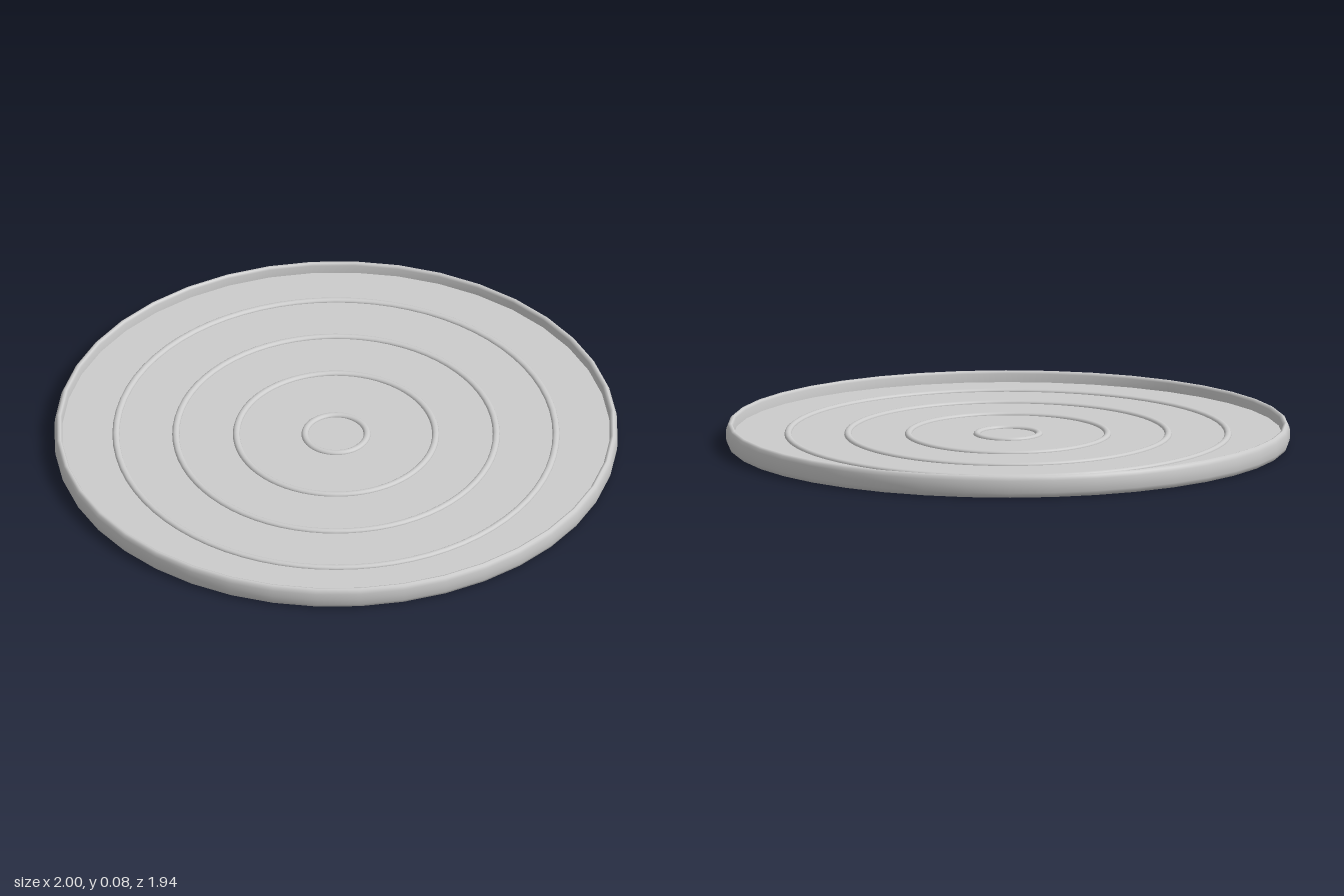
import * as THREE from 'three';

const FLOOR = 0.04;   // height of the dish floor
const DEPTH = 0.97;   // the dish is slightly oval: z radius / x radius

function lathe(name, points, segments, material) {
  const profile = points.map(([r, y]) => new THREE.Vector2(r, y));
  const mesh = new THREE.Mesh(new THREE.LatheGeometry(profile, segments), material);
  mesh.name = name;
  return mesh;
}

function disc(name, radius, y, up, material) {
  const mesh = new THREE.Mesh(new THREE.CircleGeometry(radius, 40), material);
  mesh.rotation.x = up ? -Math.PI / 2 : Math.PI / 2;
  mesh.position.y = y;
  mesh.scale.y = DEPTH;
  mesh.name = name;
  return mesh;
}

export function createModel() {
  const group = new THREE.Group();
  group.name = 'roundTray';
  const material = new THREE.MeshStandardMaterial({ color: 0xcccccc });

  // Raised rim: soft outer wall, rounded lip and straight inner wall
  const rim = lathe('rim', [
    [0.985, 0], [0.993, 0.006], [0.998, 0.018], [1, 0.04], [0.998, 0.062],
    [0.993, 0.074], [0.986, 0.08], [0.979, 0.078], [0.974, 0.07], [0.972, FLOOR],
  ], 40, material);
  rim.scale.z = DEPTH;
  group.add(rim);

  // Floor and underside
  group.add(disc('floor', 0.975, FLOOR, true, material));
  group.add(disc('underside', 0.985, 0, false, material));

  // Concentric raised ridges, half sunk into the floor
  for (const radius of [0.11, 0.353, 0.568, 0.78]) {
    const ridge = new THREE.Mesh(new THREE.TorusGeometry(radius, 0.0125, 12, 72), material);
    ridge.rotation.x = -Math.PI / 2;
    ridge.position.y = FLOOR;
    ridge.scale.z = 0.8;
    ridge.name = 'ridge';
    group.add(ridge);
  }
  return group;
}
